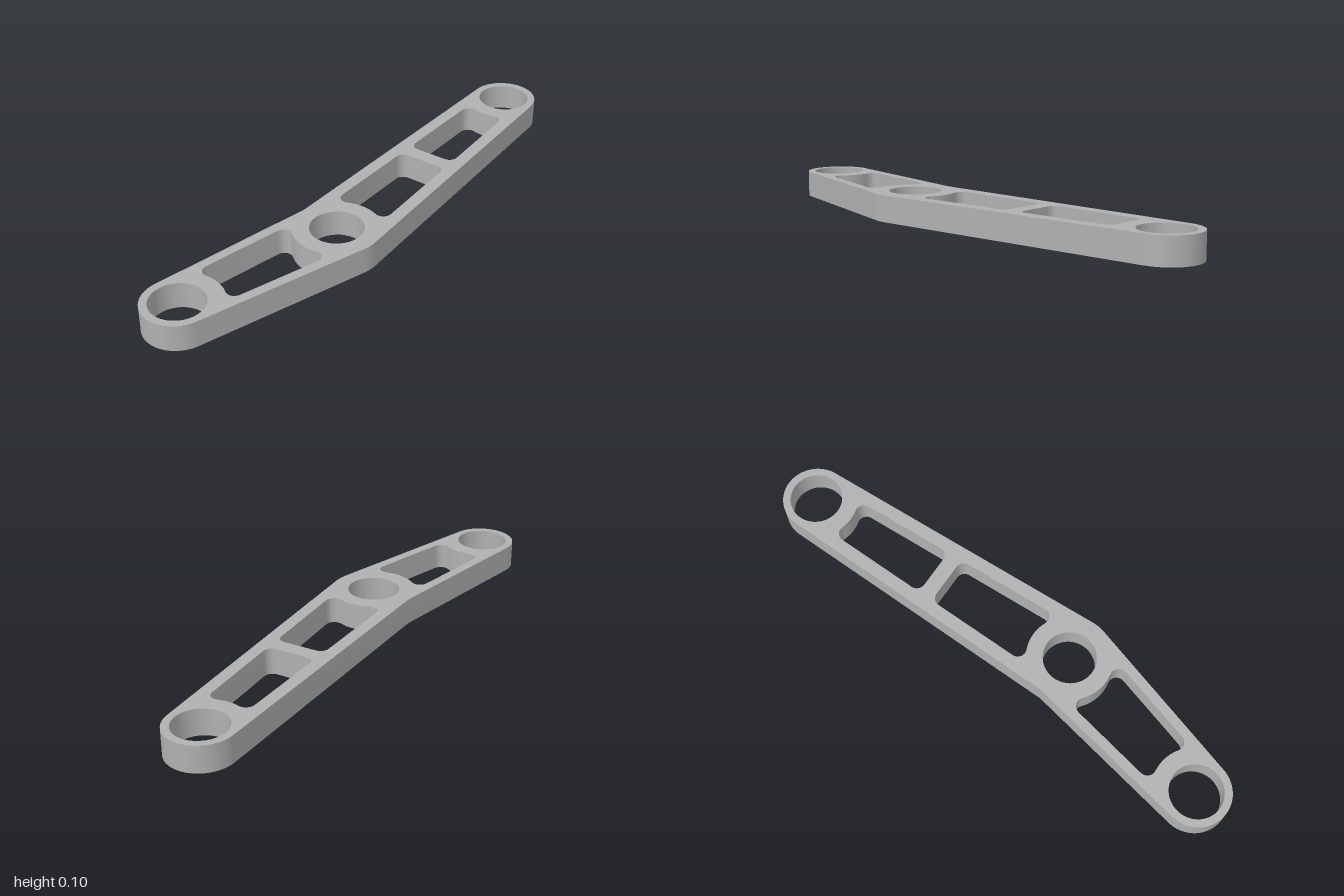
import * as THREE from 'three';
import { toCreasedNormals } from 'three/addons/utils/BufferGeometryUtils.js';

// Plan coordinates: x right, second axis is -z
const THICKNESS = 0.1;
const BORE = 0.097;      // radius of the three through holes
const FILLET = 0.032;    // pocket corner radius
const BOSS = 0.158;      // radius of the material left around a bore
const WEB = 0.058;       // cross web between the two long-arm pockets
const END_R = 0.125, PIVOT_R = 0.16;

const endA = new THREE.Vector2(-0.875, -0.125);
const pivot = new THREE.Vector2(-0.222, -0.125);
const endC = new THREE.Vector2(0.875, 0.165);

// Length, direction and edge taper of one arm
function makeArm(from, to, r0, r1) {
  const d = to.clone().sub(from);
  const length = d.length();
  const taper = Math.asin((r1 - r0) / length);
  const halfWidth = (s) => (r0 + Math.sin(taper) * s) / Math.cos(taper);
  return { from, length, angle: d.angle(), taper, halfWidth };
}

function arcPoints(cx, cy, r, a0, a1, n) {
  return Array.from({ length: n + 1 }, (_, i) => {
    const a = a0 + ((a1 - a0) * i) / n;
    return new THREE.Vector2(cx + r * Math.cos(a), cy + r * Math.sin(a));
  });
}

// One end of a pocket, bottom to top: straight against a web, or curved around a bore
function pocketEnd(pos, dir, curved, wall) {
  const reach = FILLET + (curved ? BOSS : 0);
  const guess = pos - dir * reach;
  const t = wall(guess) - FILLET;
  const u = curved ? -Math.sqrt(reach * reach - t * t) : -FILLET;
  const phi = curved ? Math.atan2(t, -u) : 0;
  const pts = [
    ...arcPoints(u, -t, FILLET, -Math.PI / 2, phi, 10),
    ...(curved ? arcPoints(0, 0, BOSS, Math.PI + phi, Math.PI - phi, 12).slice(1, -1) : []),
    ...arcPoints(u, t, FILLET, -phi, Math.PI / 2, 10),
  ];
  pts.forEach((p) => { p.x = pos + dir * p.x; });
  return dir > 0 ? pts : pts.reverse();
}

function pocket(arm, s0, curved0, s1, curved1, inset) {
  const wall = (s) => arm.halfWidth(s) - inset;
  const pts = [...pocketEnd(s1, 1, curved1, wall), ...pocketEnd(s0, -1, curved0, wall)];
  pts.forEach((p) => p.rotateAround(new THREE.Vector2(), arm.angle).add(arm.from));
  return new THREE.Path(pts).closePath();
}

export function createModel() {
  const group = new THREE.Group();
  group.name = 'bentLinkArm';
  const metal = new THREE.MeshStandardMaterial({ color: 0xb0b0b0 });
  metal.name = 'grey metal';

  const short = makeArm(endA, pivot, END_R, PIVOT_R);
  const long = makeArm(pivot, endC, PIVOT_R, END_R);
  const Q = Math.PI / 2;

  // Outer outline: tangent lines around the three bosses, with a crease on the inner bend
  const shape = new THREE.Shape();
  const low1 = -Q - short.taper, low2 = long.angle - Q - long.taper;
  const up1 = Q + short.taper, up2 = long.angle + Q + long.taper;
  shape.absarc(pivot.x, pivot.y, PIVOT_R, low1, low2, false);
  shape.absarc(endC.x, endC.y, END_R, low2, up2, false);
  const bend = PIVOT_R / Math.cos((up2 - up1) / 2), mid = (up1 + up2) / 2;
  shape.lineTo(pivot.x + bend * Math.cos(mid), pivot.y + bend * Math.sin(mid));
  shape.absarc(endA.x, endA.y, END_R, up1, 2 * Math.PI + low1, false);
  shape.closePath();

  // Bores
  for (const c of [endA, pivot, endC]) {
    shape.holes.push(new THREE.Path().absarc(c.x, c.y, BORE, 0, Math.PI * 2, true));
  }

  // Lightening pockets
  const half = long.length / 2;
  shape.holes.push(
    pocket(short, 0, true, short.length, true, 0.036),
    pocket(long, 0, true, half - WEB / 2, false, 0.048),
    pocket(long, half + WEB / 2, false, long.length, true, 0.048),
  );

  const plate = new THREE.ExtrudeGeometry(shape, {
    depth: THICKNESS, bevelEnabled: false, curveSegments: 40,
  });
  plate.rotateX(-Q);
  const mesh = new THREE.Mesh(toCreasedNormals(plate, 0.45), metal);
  mesh.name = 'linkPlate';
  group.add(mesh);
  return group;
}
